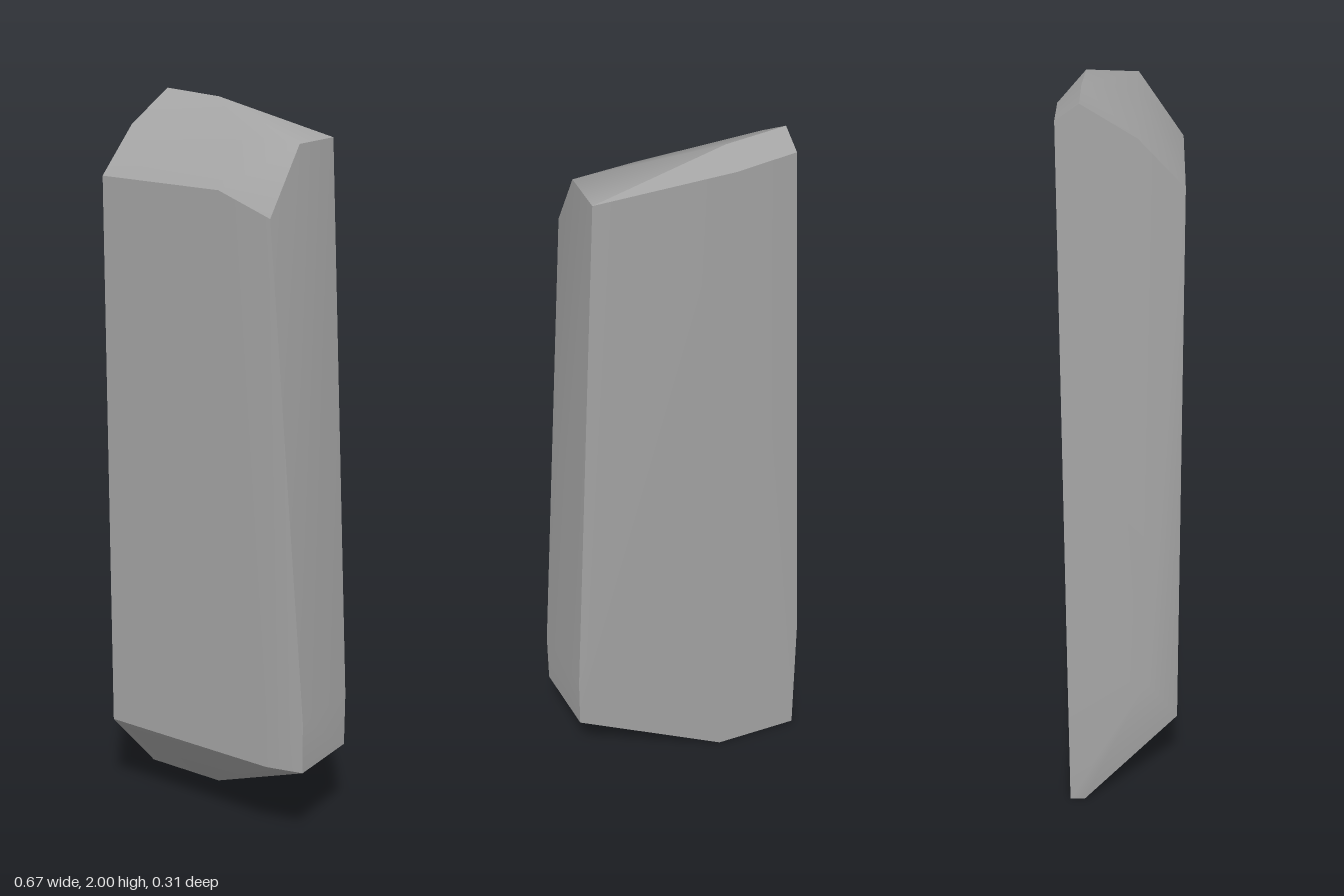
import * as THREE from 'three';

// Corner points of the standing stone
const P = {
  // front slab face
  frontLow: [-0.285, 0.25, 0.155], frontLowR: [0.235, 0.25, 0.155],
  frontTopL: [-0.285, 1.8, 0.155], frontTopM: [0.08, 1.8, 0.155], frontTopR: [0.235, 1.745, 0.155],
  // +x side
  sideLowF: [0.335, 0.25, 0.13], sideLowB: [0.335, 0.25, -0.083],
  sideKneeF: [0.335, 0.4, 0.132], sideKneeB: [0.335, 0.4, -0.085],
  sideTopF: [0.245, 1.915, 0.04], sideTopB: [0.258, 1.915, -0.097],
  // foot
  footFL: [-0.337, 0, -0.1], footFR: [-0.1, 0, -0.1],
  footBL: [-0.337, 0, -0.14], footBR: [-0.1, 0, -0.12],
  // -x side
  kneeF: [-0.337, 0.4, 0.07], kneeB: [-0.337, 0.4, -0.143],
  shoulder: [-0.275, 1.92, 0.04],
  // crown
  crownMid: [0.08, 1.92, 0.04],
  ridgeL: [-0.26, 2, -0.098], ridgeM: [-0.094, 1.99, -0.098],
  backTopL: [-0.258, 1.957, -0.157], backTopM: [-0.094, 1.945, -0.157],
};

// Each face is one or more fans of corners, smooth inside and sharp at its border
const FACES = {
  frontFace: ['frontLowR sideLowF sideKneeF frontTopR frontTopM frontTopL frontLow'],
  leftSide: ['sideKneeF sideLowF sideLowB sideKneeB sideTopB sideTopF frontTopR'],
  backFace: ['backTopM sideTopB sideKneeB sideLowB footBR footBL kneeB backTopL'],
  rightSide: ['kneeF footBL footFL frontLow frontTopL shoulder ridgeL backTopL kneeB footBL'],
  crownSlope: [
    'frontTopL frontTopM crownMid shoulder',
    'frontTopM frontTopR sideTopF crownMid',
    'ridgeM ridgeL shoulder crownMid sideTopF sideTopB',
  ],
  crownBack: ['ridgeM sideTopB backTopM backTopL ridgeL'],
  underside: ['footFR footBR sideLowB sideLowF frontLowR frontLow footFL'],
  footBase: ['footFL footBL footBR footFR'],
};

function faceGeometry(fans) {
  const names = [...new Set(fans.join(' ').split(' '))];
  const index = [];
  for (const fan of fans) {
    const ids = fan.split(' ').map((n) => names.indexOf(n));
    for (let i = 1; i < ids.length - 1; i++) index.push(ids[0], ids[i], ids[i + 1]);
  }
  const geo = new THREE.BufferGeometry();
  geo.setAttribute('position', new THREE.Float32BufferAttribute(names.flatMap((n) => P[n]), 3));
  geo.setIndex(index);
  geo.computeVertexNormals();
  return geo;
}

export function createModel() {
  const stone = new THREE.MeshStandardMaterial({ color: 0xa3a3a3 });
  stone.name = 'stoneGrey';
  const group = new THREE.Group();
  group.name = 'standingStone';
  for (const [name, fans] of Object.entries(FACES)) {
    const mesh = new THREE.Mesh(faceGeometry(fans), stone);
    mesh.name = name;
    group.add(mesh);
  }
  return group;
}
